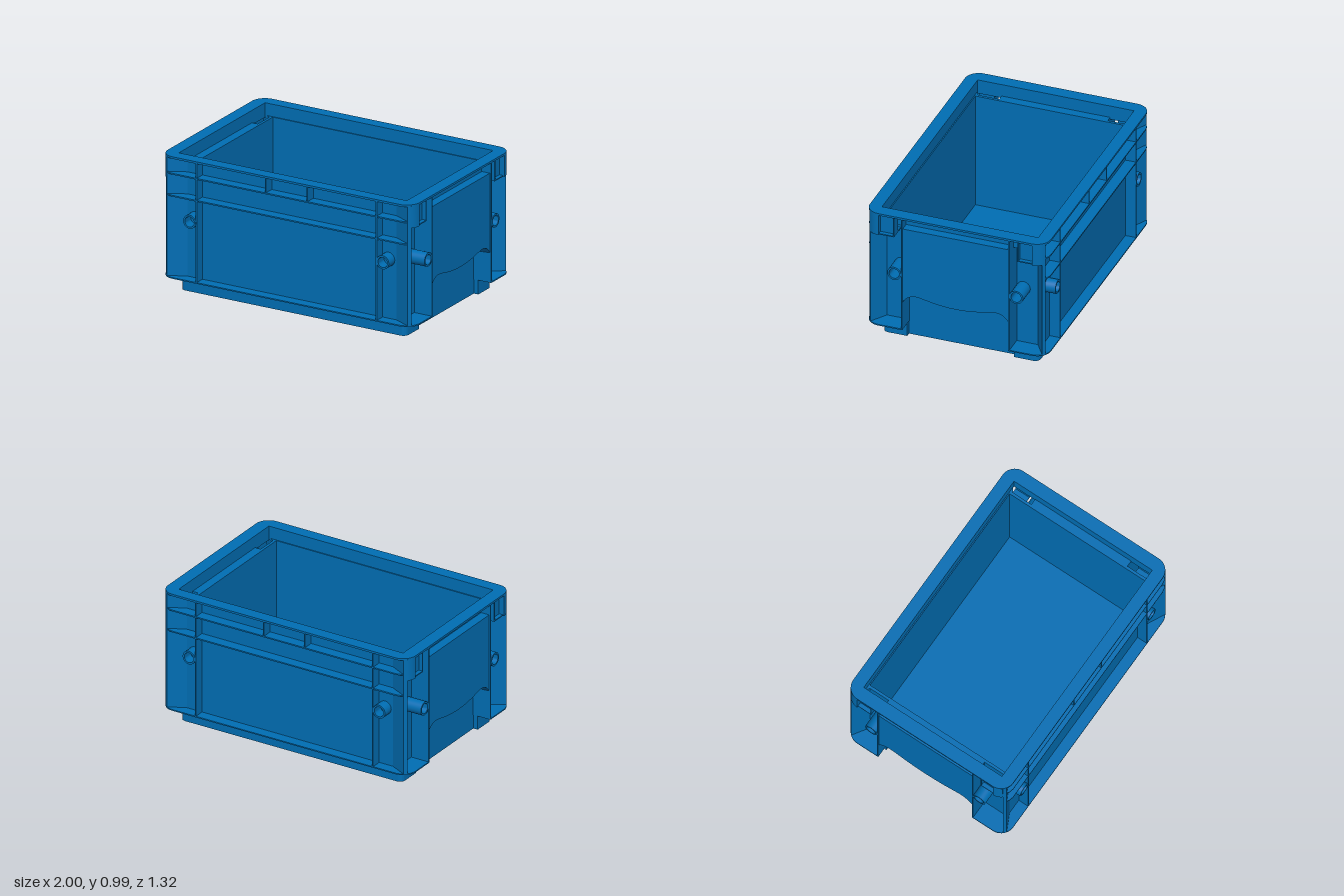
import * as THREE from 'three';
import { toCreasedNormals } from 'three/addons/utils/BufferGeometryUtils.js';

const MAT = new THREE.MeshStandardMaterial({ color: 0x006eb4 });
const V = (x, y) => new THREE.Vector2(x, y);

// Rounded corner of the plan, from angle a0 to a1 (radians from +x towards +z)
function arc(a0, a1, cx = 0.9, cz = 0.56, r = 0.1, n = 10) {
  return Array.from({ length: n + 1 }, (_, i) => {
    const a = a0 + (a1 - a0) * i / n;
    return [cx + r * Math.cos(a), cz + r * Math.sin(a)];
  });
}

// Mirror one quadrant (front to side) into a closed plan outline
function fourfold(q) {
  const r = [...q].reverse();
  return [...q, ...r.map(([x, z]) => [x, -z]), ...q.map(([x, z]) => [-x, -z]), ...r.map(([x, z]) => [-x, z])];
}

export function createModel() {
  const model = new THREE.Group();

  function add(name, geometry) {
    const mesh = new THREE.Mesh(geometry, MAT);
    mesh.name = name;
    model.add(mesh);
    return mesh;
  }

  function box(name, x0, x1, y0, y1, z0, z1) {
    const g = new THREE.BoxGeometry(Math.abs(x1 - x0), y1 - y0, Math.abs(z1 - z0));
    add(name, g).position.set((x0 + x1) / 2, (y0 + y1) / 2, (z0 + z1) / 2);
  }

  // Raise a plan outline from y0 to y1, with an optional rectangular opening
  function slab(name, points, y0, y1, hole) {
    const shape = new THREE.Shape(points.map(p => V(...p)));
    if (hole) {
      const [hx, hz] = hole;
      shape.holes.push(new THREE.Path([V(-hx, -hz), V(hx, -hz), V(hx, hz), V(-hx, hz)]));
    }
    const g = new THREE.ExtrudeGeometry(shape, { depth: y1 - y0, bevelEnabled: false });
    g.rotateX(Math.PI / 2).translate(0, y1, 0);
    add(name, toCreasedNormals(g, 0.3));
  }

  // Base, notched in the middle of both ends
  const base = fourfold([...arc(Math.PI / 2, 0, 0.855, 0.53, 0.04, 5), [0.895, 0.39], [0.86, 0.39]]);
  slab('floor', base, 0, 0.04);
  slab('base', base, 0.04, 0.108, [0.84, 0.562]);

  // Walls with flat corner webs reaching out to the rounded posts
  const post = arc(0.99, 0.71, 0.9, 0.56, 0.1, 4);
  const frontWeb = [[0.715, 0.582], [0.83, 0.582], ...post];
  slab('walls', fourfold([...frontWeb, [0.86, 0.55]]), 0.105, 0.9, [0.84, 0.562]);
  slab('upperWalls', fourfold([...frontWeb, [0.925, 0.57]]), 0.885, 0.98, [0.905, 0.57]);

  // Rim and bottom flange
  slab('rim', fourfold(arc(Math.PI / 2, 0)), 0.975, 0.99, [0.905, 0.57]);
  slab('bottomFlange', fourfold([...arc(Math.PI / 2, 0), [1, 0.39], [0.86, 0.39]]), 0.104, 0.113, [0.84, 0.562]);

  for (const s of [1, -1]) {
    // Ribs on the long sides
    for (const y of [0.865, 0.705]) {
      const half = [[0.83, 0.575], [0.953, 0.64], [0.93, 0.654], [0.9, 0.66]];
      const outline = [...half, ...[...half].reverse().map(([x, z]) => [-x, z])];
      slab('longRib', outline.map(([x, z]) => [x, z * s]), y - 0.005, y + 0.005);
    }
    for (const x of [-0.715, 0.715]) box('uprightRib', x - 0.005, x + 0.005, 0.11, 0.98, s * 0.575, s * 0.658);
    for (const x of [-0.165, 0.165]) box('shortRib', x - 0.005, x + 0.005, 0.865, 0.98, s * 0.575, s * 0.658);

    // Upright end panel, level with the fins, with a wavy arched lower edge
    const panel = new THREE.Shape();
    panel.moveTo(-0.388, 0.9);
    panel.lineTo(-0.388, 0.32);
    panel.quadraticCurveTo(-0.35, 0.38, -0.29, 0.38);
    panel.bezierCurveTo(-0.24, 0.38, -0.16, 0.344, 0, 0.344);
    panel.bezierCurveTo(0.16, 0.344, 0.24, 0.38, 0.29, 0.38);
    panel.quadraticCurveTo(0.35, 0.38, 0.388, 0.32);
    panel.lineTo(0.388, 0.9);
    const g = new THREE.ExtrudeGeometry(panel, { depth: 0.135, bevelEnabled: false, curveSegments: 10 });
    const p = g.attributes.position;
    // The lower edge drops slightly towards the wall
    for (let i = 0; i < p.count; i++) {
      if (p.getZ(i) < 0.05 && p.getY(i) < 0.5) p.setY(i, p.getY(i) - 0.01);
    }
    g.rotateY(s * Math.PI / 2).translate(s * 0.855, 0, 0);
    add('endPanel', toCreasedNormals(g, 0.5));

    for (const t of [1, -1]) {
      // Fins beside the end panel
      box('endFin', s * 0.855, s, 0.105, 0.9, t * 0.386, t * 0.396);
      box('upperEndFin', s * 0.915, s, 0.9, 0.98, t * 0.386, t * 0.396);

      // Corner cap under the rim with a shallow pocket beside it
      const cap = [[0.925, 0.56], [0.945, 0.62], ...arc(0.99, 0, 0.9, 0.56, 0.1, 8)];
      slab('cornerCap', cap.map(([x, z]) => [x * s, z * t]), 0.82, 0.98);
      box('pocketBack', s * 0.915, s * 0.96, 0.82, 0.98, t * 0.45, t * 0.565);
      box('pocketFloor', s * 0.858, s * 0.99, 0.82, 0.828, t * 0.45, t * 0.565);
      box('pocketSide', s * 0.915, s * 0.99, 0.82, 0.98, t * 0.45, t * 0.458);

      // Hollow pegs on the long sides and on the ends
      const ring = new THREE.Shape().absarc(0, 0, 0.05, 0, Math.PI * 2);
      ring.holes.push(new THREE.Path().absarc(0, 0, 0.037, 0, Math.PI * 2, true));
      const tube = depth => toCreasedNormals(
        new THREE.ExtrudeGeometry(ring, { depth, bevelEnabled: false, curveSegments: 12 }), 0.8);
      const side = add('sidePeg', tube(0.085));
      side.position.set(t * 0.767, 0.543, s * 0.575);
      side.rotation.y = s > 0 ? 0 : Math.PI;
      const end = add('endPeg', tube(0.145));
      end.position.set(s * 0.855, 0.54, t * 0.445);
      end.rotation.y = s * Math.PI / 2;
    }
  }
  return model;
}
